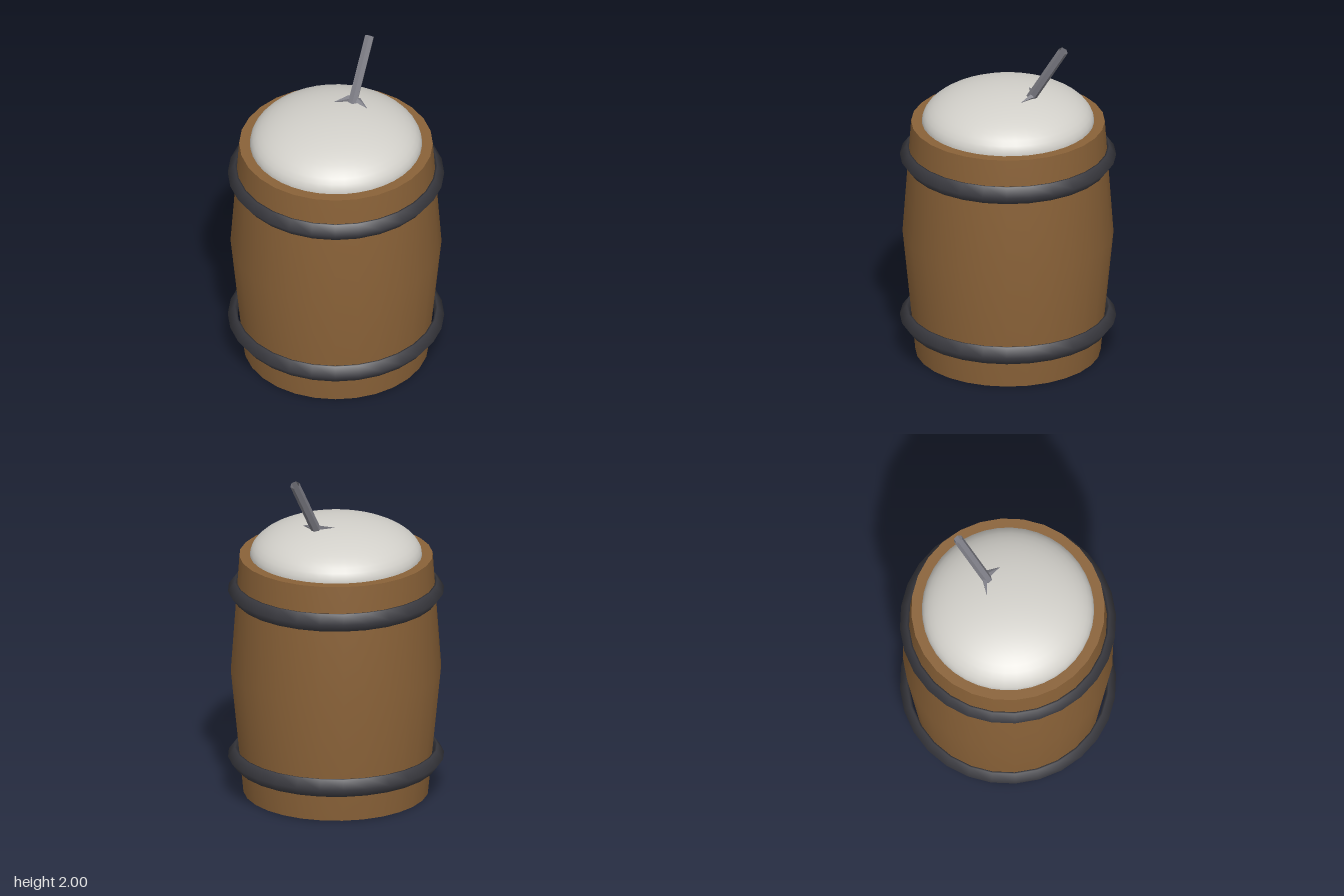
import * as THREE from 'three';

const SEG = 28;
const mat = (color, side = THREE.FrontSide) => new THREE.MeshStandardMaterial({ color, side });
const wood = mat(0x8a6238);
const iron = mat(0x3a3a40);
const cream = mat(0xd2d0ca);
const metal = mat(0x7c7c84, THREE.DoubleSide);
metal.flatShading = true;

const lathe = (points, seg = SEG) =>
  new THREE.LatheGeometry(points.map(([r, y]) => new THREE.Vector2(r, y)), seg);

function add(parent, name, geometry, material) {
  const mesh = new THREE.Mesh(geometry, material);
  mesh.name = name;
  parent.add(mesh);
  return mesh;
}

// Open tapered tube running from point a to point b
function between(parent, name, a, b, ra, rb, sides, flat = 1) {
  const from = new THREE.Vector3(...a), to = new THREE.Vector3(...b);
  const dir = to.clone().sub(from);
  const geometry = new THREE.CylinderGeometry(rb, ra, dir.length(), sides, 1, true);
  geometry.scale(1, 1, flat);
  const mesh = add(parent, name, geometry, metal);
  mesh.position.copy(from).add(to).multiplyScalar(0.5);
  mesh.quaternion.setFromUnitVectors(new THREE.Vector3(0, 1, 0), dir.normalize());
  return mesh;
}

export function createModel() {
  const model = new THREE.Group();
  model.name = 'barrelMug';

  // Barrel: bulged wall, flat rim and bottom
  const barrel = new THREE.Group();
  barrel.name = 'barrel';
  model.add(barrel);
  add(barrel, 'wall', lathe([[0.538, 0], [0.612, 0.75], [0.562, 1.45]]), wood);
  const rim = add(barrel, 'rim', new THREE.RingGeometry(0.48, 0.562, SEG), wood);
  rim.rotation.x = -Math.PI / 2;
  rim.position.y = 1.45;
  const bottom = add(barrel, 'bottom', new THREE.CircleGeometry(0.538, SEG), wood);
  bottom.rotation.x = Math.PI / 2;

  // Hoops with a ridged outer face, slightly loose at the bottom
  const hoopProfile = [[0.578, -0.053], [0.588, -0.053], [0.628, 0], [0.588, 0.053], [0.578, 0.053], [0.572, 0], [0.578, -0.053]];
  for (const [name, y] of [['lowerHoop', 0.218], ['upperHoop', 1.238]]) {
    add(model, name, lathe(hoopProfile), iron).position.y = y;
  }

  // Domed foam filling
  const dome = add(model, 'foam', new THREE.SphereGeometry(1, 40, 12, 0, Math.PI * 2, 0, Math.PI / 2), cream);
  dome.scale.set(0.5, 0.212, 0.5);
  dome.position.y = 1.449;

  // Leaning hollow straw with two torn flaps at its foot
  between(model, 'straw', [0.155, 1.625, -0.008], [0.373, 1.983, -0.052], 0.029, 0.029, 6);
  between(model, 'backFlap', [0.165, 1.662, -0.03], [0.09, 1.658, -0.083], 0.022, 0.001, 4, 0.7);
  between(model, 'frontFlap', [0.185, 1.66, 0.01], [0.172, 1.645, 0.092], 0.022, 0.001, 4, 0.7);

  return model;
}
